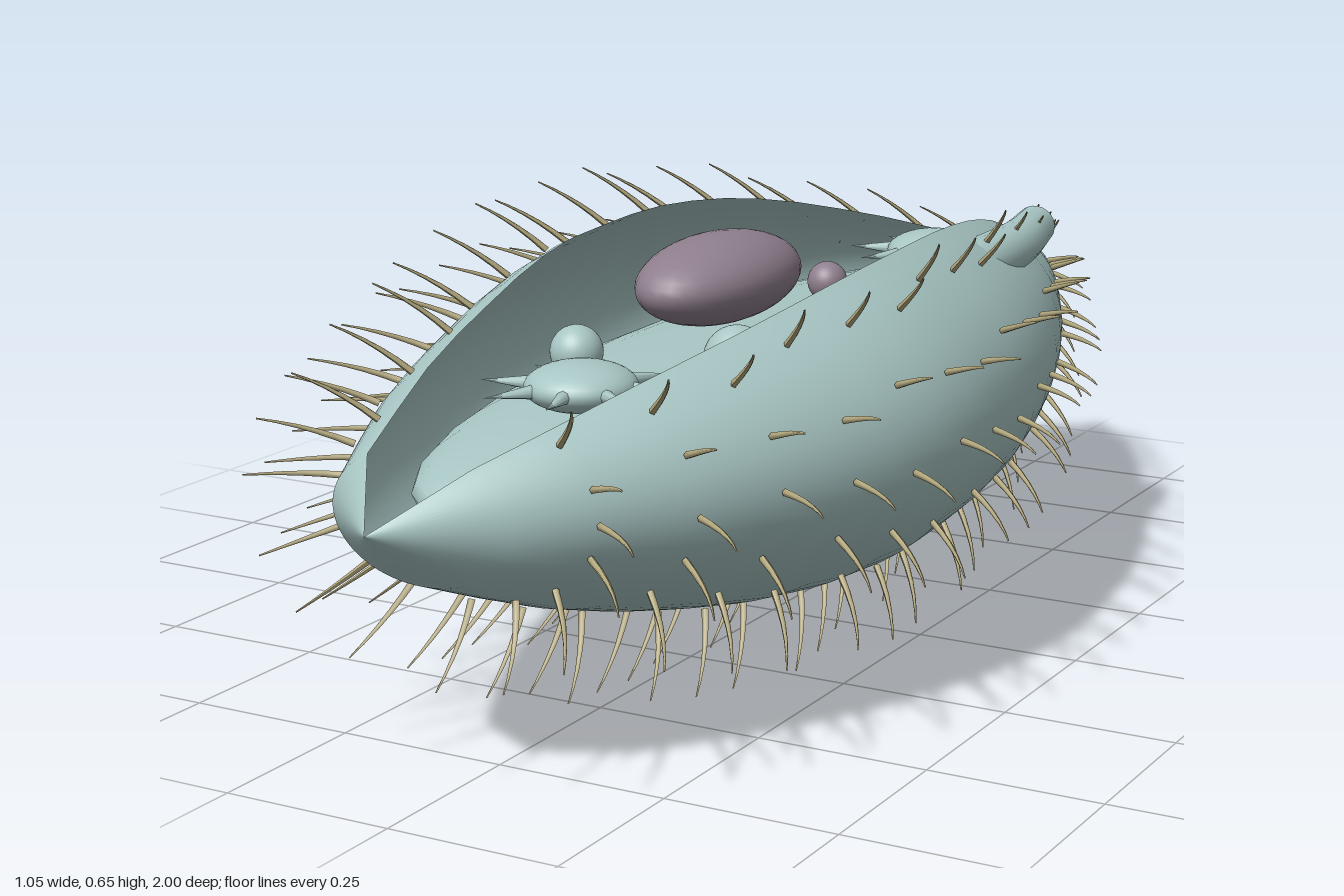
import * as THREE from 'three';
import { mergeGeometries } from 'three/addons/utils/BufferGeometryUtils.js';

const RX = 0.41, RY = 0.27, CY = 0.37, RAD = Math.PI / 180;
// girth of the body at z = -1 to 1 in steps of 0.1
const GIRTH = [0, 0.23, 0.37, 0.51, 0.63, 0.74, 0.83, 0.9, 0.95, 0.985, 1,
  1, 0.995, 0.96, 0.9, 0.82, 0.73, 0.62, 0.48, 0.33, 0];

function bodyPoint(angle, z) {
  const t = (z + 1) * 10;
  const i = Math.max(0, Math.min(19, Math.floor(t)));
  const f = THREE.MathUtils.lerp(GIRTH[i], GIRTH[i + 1], t - i);
  const shift = -0.02 + 0.014 * Math.cos(Math.PI * z / 2) + 0.036 * Math.sin(Math.PI * z);
  return new THREE.Vector3(shift + RX * f * Math.cos(angle), CY + RY * f * Math.sin(angle), z);
}

// tube along a curve whose radius follows radiusAt(t)
function taperedTube(curve, segments, sides, radiusAt) {
  const g = new THREE.TubeGeometry(curve, segments, 1, sides);
  const p = g.attributes.position, v = new THREE.Vector3();
  for (let i = 0; i < p.count; i++) {
    const t = Math.floor(i / (sides + 1)) / segments;
    const c = curve.getPointAt(t);
    v.fromBufferAttribute(p, i).sub(c).multiplyScalar(radiusAt(t)).add(c);
    p.setXYZ(i, v.x, v.y, v.z);
  }
  g.computeVertexNormals();
  return g;
}

export function createModel() {
  const model = new THREE.Group();
  const cell = new THREE.MeshStandardMaterial({ color: 0xa8c6c4 });
  cell.name = 'cell blue green';
  const shellMat = new THREE.MeshStandardMaterial({ color: 0xa8c6c4, side: THREE.DoubleSide });
  shellMat.name = 'membrane blue green';
  const purple = new THREE.MeshStandardMaterial({ color: 0x8f7f8e });
  purple.name = 'nucleus purple';
  const tan = new THREE.MeshStandardMaterial({ color: 0xb3a87e });
  tan.name = 'cilia tan';

  const add = (name, geometry, material, parent = model) => {
    const mesh = new THREE.Mesh(geometry, material);
    mesh.name = name;
    parent.add(mesh);
    return mesh;
  };
  const ball = (name, material, x, y, z, rx, ry = rx, rz = rx, parent = model) => {
    const mesh = add(name, new THREE.SphereGeometry(1, 32, 20), material, parent);
    mesh.position.set(x, y, z);
    mesh.scale.set(rx, ry, rz);
  };

  // outer membrane, open along the top
  const shell = new THREE.PlaneGeometry(1, 1, 56, 20);
  const p = shell.attributes.position;
  for (let i = 0; i < p.count; i++) {
    const angle = (270 + p.getX(i) * 289) * RAD;
    const v = bodyPoint(angle, p.getY(i) * 2);
    p.setXYZ(i, v.x, v.y, v.z);
  }
  shell.computeVertexNormals();
  add('membrane', shell, shellMat);

  // inner body
  ball('cytoplasm', cell, 0, 0.36, 0, 0.27, 0.1, 0.85);

  // nuclei
  ball('largeNucleus', purple, -0.06, 0.52, 0.055, 0.098, 0.066, 0.182);
  ball('smallNucleus', purple, 0.05, 0.5, -0.08, 0.03);

  // food vacuoles
  [[-0.16, -0.25, 0.045], [0.06, -0.31, 0.03], [0.107, 0.3, 0.048], [-0.115, 0.365, 0.038]]
    .forEach(([x, z, r]) => ball('foodVacuole', cell, x, 0.463, z, r));

  // star-shaped vacuoles with radiating canals
  for (const z of [-0.535, 0.555]) {
    const star = new THREE.Group();
    star.name = 'starVacuole';
    star.position.set(0.012, 0.468, z);
    model.add(star);
    ball('core', cell, 0, 0, 0, 0.077, 0.034, 0.077, star);
    for (let i = 0; i < 8; i++) {
      const spike = new THREE.ConeGeometry(0.012, 0.085, 8);
      spike.rotateZ(-Math.PI / 2).translate(0.1, 0, 0).rotateY((i + 0.3) * Math.PI / 4);
      add('canal', spike, cell, star);
    }
  }

  // gullet piercing the side wall and tapering inwards
  const path = new THREE.CatmullRomCurve3([
    [0.215, 0.535, -0.48], [0.238, 0.528, -0.35], [0.228, 0.515, -0.2],
    [0.175, 0.495, -0.05], [0.117, 0.47, 0.1],
  ].map((a) => new THREE.Vector3(...a)));
  add('gullet', taperedTube(path, 28, 16, (t) =>
    t < 0.55 ? 0.032 + 0.022 * t : 0.044 - 0.076 * (t - 0.55)), cell);
  ball('gulletEnd', cell, 0.215, 0.535, -0.477, 0.032, 0.032, 0.012);
  ball('gulletTip', cell, 0.117, 0.47, 0.1, 0.01);

  // cilia: 13 rows of curved hairs swept forwards, each row slightly staggered
  const hairs = [];
  for (let row = 0; row < 13; row++) {
    for (let i = 0; i < 16; i++) {
      const angle = (135 + row * 22.5 - 2.2 * ((i + row) % 3)) * RAD;
      const out = new THREE.Vector3(Math.cos(angle), Math.sin(angle), 0);
      const root = bodyPoint(angle, 0.81 - i * 0.115).addScaledVector(out, 0.003);
      const bend = root.clone().addScaledVector(out, 0.058);
      bend.z += 0.028;
      const tip = root.clone().addScaledVector(out, 0.1);
      tip.z += 0.085;
      const curve = new THREE.QuadraticBezierCurve3(root, bend, tip);
      hairs.push(taperedTube(curve, 5, 5, (t) => 0.0052 * (1 - 0.8 * t)));
    }
  }
  add('cilia', mergeGeometries(hairs), tan);

  return model;
}
